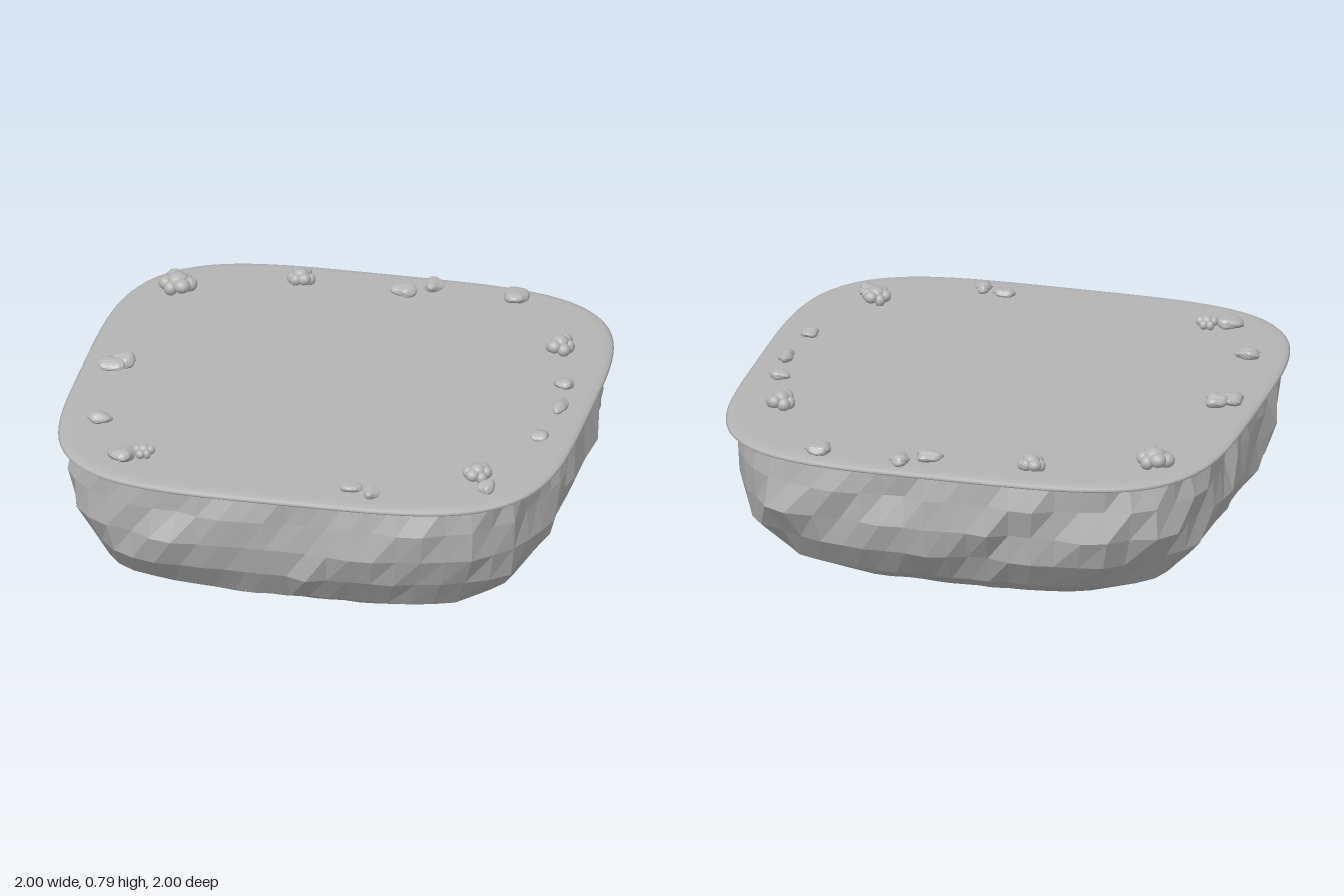
import * as THREE from 'three';

const stone = new THREE.MeshStandardMaterial({ color: 0xb4b4b4 });
stone.name = 'grey stone';
const facetedStone = stone.clone();
facetedStone.flatShading = true;

// Small seeded random generator
function seeded(seed) {
  return () => {
    seed = (seed * 1664525 + 1013904223) % 4294967296;
    return seed / 4294967296;
  };
}

// Rounded-square outline: radius of a superellipse at angle a
const outline = (a, n = 4) =>
  Math.pow(Math.pow(Math.abs(Math.cos(a)), n) + Math.pow(Math.abs(Math.sin(a)), n), -1 / n);

// Skin rings of points, listed from bottom to top
function loft(rings, columns, pointAt) {
  const positions = [], index = [];
  for (let r = 0; r < rings; r++)
    for (let c = 0; c < columns; c++) positions.push(...pointAt(r, c));
  for (let r = 0; r < rings - 1; r++)
    for (let c = 0; c < columns; c++) {
      const a = r * columns + c, b = r * columns + (c + 1) % columns;
      const d = a + columns, e = b + columns;
      index.push(a, d, b, b, d, e);
    }
  const geometry = new THREE.BufferGeometry();
  geometry.setAttribute('position', new THREE.Float32BufferAttribute(positions, 3));
  geometry.setIndex(index);
  geometry.computeVertexNormals();
  return geometry;
}

// Thin smooth slab with a rounded rim
function makeTop() {
  const profile = [[0, 0.683], [0.96, 0.683], [0.98, 0.684], [0.994, 0.689], [1, 0.696],
    [0.994, 0.703], [0.98, 0.708], [0.96, 0.71], [0.94, 0.71], [0, 0.71]];
  const columns = 128;
  const geometry = loft(profile.length, columns, (r, c) => {
    const a = c / columns * Math.PI * 2, s = profile[r][0] * outline(a);
    return [Math.cos(a) * s, profile[r][1], Math.sin(a) * s];
  });
  const mesh = new THREE.Mesh(geometry, stone);
  mesh.name = 'topSlab';
  return mesh;
}

// Chiselled bowl of rock narrowing to a shallow point; [radius, height, roughness]
function makeRock() {
  const profile = [[0, 0, 0], [0.39, 0.045, 0.004], [0.64, 0.12, 0.008], [0.825, 0.22, 0.014],
    [0.91, 0.34, 0.024], [0.95, 0.46, 0.026], [0.952, 0.58, 0.024], [0.94, 0.7, 0.012]];
  const columns = 72, random = seeded(17);
  const geometry = loft(profile.length, columns, (r, c) => {
    const a = c / columns * Math.PI * 2;
    const [radius, y, rough] = profile[r];
    const wave = 0.6 * Math.sin(a * 9 + r * 1.9) + 0.5 * Math.sin(a * 17 - r * 2.7);
    const s = radius * outline(a) + rough * (wave * 0.7 + (random() - 0.5) * 1.2);
    // chipped ledge on the right side
    const ledge = Math.abs(Math.sin(a)) < 0.13 && Math.cos(a) > 0 ? [0, 0, 0, 0.02, -0.03, 0.01, 0, 0][r] : 0;
    return [Math.cos(a) * (s + ledge), y, Math.sin(a) * (s + ledge)];
  });
  const mesh = new THREE.Mesh(geometry, facetedStone);
  mesh.name = 'rockBase';
  return mesh;
}

// Single chipped stone resting on the slab
function makePebble([x, z, rx, rz, height], i) {
  const geometry = new THREE.IcosahedronGeometry(1, 2);
  const p = geometry.attributes.position, v = new THREE.Vector3();
  for (let k = 0; k < p.count; k++) {
    v.fromBufferAttribute(p, k);
    const bump = 1 + 0.1 * Math.sin(v.x * 4 + i * 2.1) + 0.08 * Math.sin(v.z * 5 + v.y * 3 + i);
    v.multiplyScalar(bump);
    p.setXYZ(k, v.x, v.y, v.z);
  }
  geometry.computeVertexNormals();
  const mesh = new THREE.Mesh(geometry, facetedStone);
  mesh.scale.set(rx, height * 0.6, rz);
  mesh.position.set(x, 0.71 + height * 0.36, z);
  mesh.name = 'pebble';
  return mesh;
}

// Rounded lumps gathered into a clump
function makeClump([x, z, radius, height], i) {
  const clump = new THREE.Group();
  clump.name = 'pebbleClump';
  const ball = new THREE.SphereGeometry(1, 14, 10);
  const lumps = 6;
  for (let k = 0; k <= lumps; k++) {
    const centre = k === lumps;
    const a = k / lumps * Math.PI * 2 + i;
    const d = centre ? 0 : radius * 0.6;
    const size = radius * (centre ? 0.6 : 0.42 + 0.06 * Math.sin(k * 2.3 + i));
    const lump = new THREE.Mesh(ball, stone);
    lump.name = 'lump';
    lump.scale.set(size, height * (centre ? 0.45 : 0.38), size);
    lump.position.set(Math.cos(a) * d, height * (centre ? 0.55 : 0.4 + 0.12 * Math.sin(k * 2 + i)), Math.sin(a) * d);
    clump.add(lump);
  }
  clump.position.set(x, 0.71, z);
  return clump;
}

export function createModel() {
  const model = new THREE.Group();
  model.name = 'stonePlatform';
  model.add(makeTop(), makeRock());

  // x, z, half width, half depth, height
  const pebbles = [
    [0.09, -0.84, 0.052, 0.043, 0.04], [0.19, -0.905, 0.042, 0.046, 0.04],
    [0.52, -0.88, 0.046, 0.056, 0.042], [0.86, -0.19, 0.04, 0.034, 0.035],
    [0.885, 0, 0.032, 0.052, 0.035], [0.86, 0.26, 0.032, 0.04, 0.03],
    [0.755, 0.735, 0.034, 0.045, 0.04], [0.33, 0.875, 0.034, 0.044, 0.035],
    [0.24, 0.845, 0.042, 0.034, 0.03], [-0.68, 0.765, 0.054, 0.05, 0.045],
    [-0.83, 0.475, 0.054, 0.034, 0.04], [-0.88, 0.015, 0.052, 0.05, 0.04],
    [-0.838, -0.02, 0.046, 0.045, 0.05],
  ];
  pebbles.forEach((spec, i) => model.add(makePebble(spec, i)));

  // x, z, radius, height
  const clumps = [
    [-0.77, -0.68, 0.074, 0.075], [-0.32, -0.84, 0.056, 0.062], [0.78, -0.48, 0.06, 0.068],
    [0.7, 0.65, 0.057, 0.063], [-0.6, 0.73, 0.042, 0.05],
  ];
  clumps.forEach((spec, i) => model.add(makeClump(spec, i)));
  return model;
}
